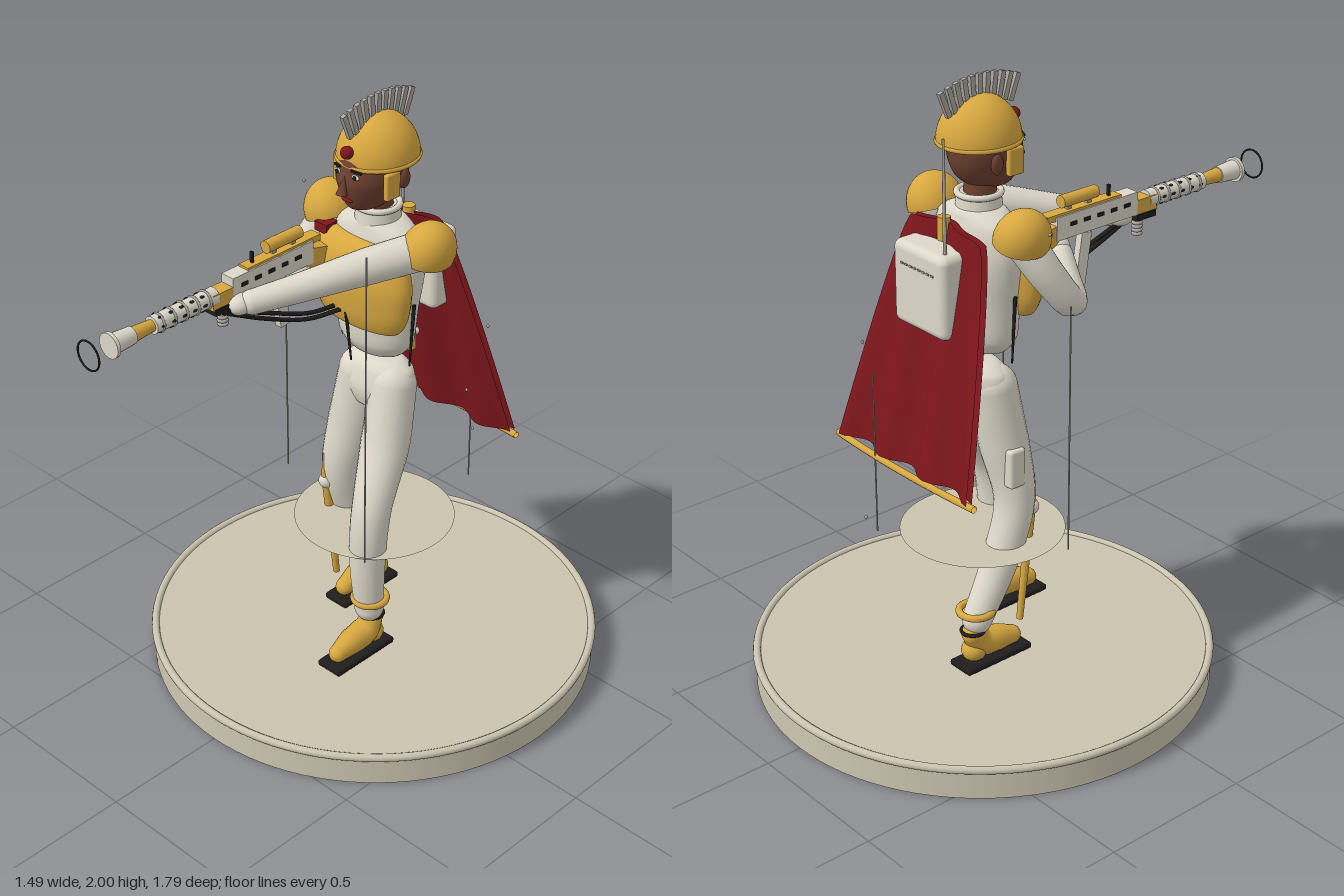
import * as THREE from 'three';
import { RoundedBoxGeometry } from 'three/addons/geometries/RoundedBoxGeometry.js';

const V = (x, y, z) => new THREE.Vector3(x, y, z);
const paint = (name, color, side = THREE.FrontSide) => {
  const m = new THREE.MeshStandardMaterial({ color, side });
  m.name = name;
  return m;
};

export function createModel() {
  const root = new THREE.Group();
  root.name = 'figureOnBase';
  const cream = paint('cream', 0xddd8ca), stone = paint('stone', 0xcbc4af, THREE.DoubleSide);
  const gold = paint('gold', 0xd8a840, THREE.DoubleSide), red = paint('red', 0x7e161c, THREE.DoubleSide);
  const skin = paint('skin', 0x6e4030), black = paint('black', 0x1f1d1c), grey = paint('grey', 0xaaa69e);

  // ---- helpers ----
  const add = (name, geo, mat, p = [0, 0, 0], rot = [0, 0, 0], s = [1, 1, 1]) => {
    const m = new THREE.Mesh(geo, mat);
    m.name = name;
    m.position.set(...p);
    m.rotation.set(...rot);
    m.scale.set(...s);
    root.add(m);
    return m;
  };
  const ball = (name, mat, p, s) => add(name, new THREE.SphereGeometry(1, 28, 18), mat, p, [0, 0, 0], s);
  const box = (name, mat, p, s, rot) => add(name, new THREE.BoxGeometry(...s), mat, p, rot);
  const rod = (name, mat, a, b, r1, r2 = r1, sides = 20) => {
    const A = V(...a), B = V(...b), d = B.clone().sub(A);
    const m = add(name, new THREE.CylinderGeometry(r2, r1, d.length(), sides), mat, A.clone().add(B).multiplyScalar(0.5).toArray());
    m.quaternion.setFromUnitVectors(V(0, 1, 0), d.normalize());
    return m;
  };
  // round limb along a smooth path, radius varying, rounded ends
  const limb = (name, mat, pts, radii, seg = 30) => {
    const curve = new THREE.CatmullRomCurve3(pts.map(p => V(...p)));
    const geo = new THREE.TubeGeometry(curve, seg, 1, 20);
    const pos = geo.attributes.position, v = V(0, 0, 0);
    for (let i = 0; i <= seg; i++) {
      const c = curve.getPointAt(i / seg), f = (i / seg) * (radii.length - 1);
      const k = Math.min(Math.floor(f), radii.length - 2);
      const r = THREE.MathUtils.lerp(radii[k], radii[k + 1], f - k);
      for (let j = 0; j <= 20; j++) {
        const n = i * 21 + j;
        v.fromBufferAttribute(pos, n).sub(c).multiplyScalar(r).add(c);
        pos.setXYZ(n, v.x, v.y, v.z);
      }
    }
    add(name, geo, mat);
    [0, pts.length - 1].forEach(i => {
      const r = radii[i ? radii.length - 1 : 0];
      ball(name + 'End', mat, pts[i], [r, r, r]);
    });
  };
  // closed body from horizontal elliptical sections [y, z, rx, rz], bottom to top
  const loft = (name, mat, sections, n = 36) => {
    const path = k => new THREE.CatmullRomCurve3(sections.map(s => V(s[k], s[k + 1], 0)));
    const a = path(0), b = path(2), rows = 28, pos = [], idx = [];
    for (let i = 0; i <= rows; i++) {
      const c = a.getPoint(i / rows), r = b.getPoint(i / rows);
      for (let j = 0; j < n; j++) {
        const t = (j / n) * Math.PI * 2;
        pos.push(Math.sin(t) * r.x, c.x, c.y + Math.cos(t) * r.y);
        const k = (j + 1) % n, p = i * n;
        if (i < rows) idx.push(p + j, p + k, p + n + j, p + k, p + n + k, p + n + j);
      }
    }
    const geo = new THREE.BufferGeometry();
    geo.setAttribute('position', new THREE.Float32BufferAttribute(pos, 3));
    geo.setIndex(idx);
    geo.computeVertexNormals();
    add(name, geo, mat);
  };

  // ---- base, floating disc and thin poles ----
  const cz = -0.146;
  add('base', new THREE.CylinderGeometry(0.73, 0.735, 0.1, 96), stone, [0, 0.05, cz]);
  add('baseRim', new THREE.TorusGeometry(0.73, 0.013, 10, 96), stone, [0, 0.098, cz], [Math.PI / 2, 0, 0]);
  add('disc', new THREE.CircleGeometry(0.262, 64), stone, [0, 0.51, cz], [-Math.PI / 2, 0, 0]);
  [[-0.35, -0.098, 1.37], [0.215, 0.125, 1.64], [0.12, -0.47, 1.1]].forEach(([x, z, top]) =>
    rod('pole', grey, [x, 0.56, z], [x, top, z], 0.0025, 0.0025, 8));
  [[-0.32, 1.6, -0.155], [0.33, 1.1, -0.2], [0.055, 0.67, -0.56], [0.2, 1.17, -0.445]].forEach(p =>
    ball('mote', grey, p, [0.005, 0.005, 0.005]));

  // ---- torso ----
  loft('torso', cream, [[1.135, -0.148, 0.005, 0.005], [1.15, -0.148, 0.1, 0.065], [1.2, -0.148, 0.137, 0.092],
    [1.32, -0.15, 0.15, 0.098], [1.46, -0.155, 0.17, 0.1], [1.56, -0.155, 0.155, 0.085], [1.6, -0.155, 0.08, 0.07], [1.61, -0.155, 0.005, 0.005]]);
  loft('breastplate', gold, [[1.262, -0.08, 0.005, 0.005], [1.27, -0.08, 0.15, 0.055], [1.33, -0.08, 0.185, 0.075],
    [1.42, -0.08, 0.196, 0.08], [1.5, -0.085, 0.18, 0.07], [1.545, -0.09, 0.12, 0.045], [1.555, -0.09, 0.005, 0.005]]);
  loft('pelvis', cream, [[0.93, -0.15, 0.005, 0.005], [0.95, -0.15, 0.1, 0.06], [1.02, -0.16, 0.138, 0.085],
    [1.08, -0.167, 0.125, 0.075], [1.108, -0.167, 0.08, 0.05], [1.115, -0.167, 0.005, 0.005]]);
  rod('waistJoint', gold, [0, 1.08, -0.16], [0, 1.16, -0.16], 0.02);
  add('collar', new THREE.CylinderGeometry(0.066, 0.075, 0.075, 32), cream, [0, 1.605, -0.15]);
  add('collarRing', new THREE.TorusGeometry(0.066, 0.01, 10, 32), cream, [0, 1.64, -0.15], [Math.PI / 2, 0, 0]);
  rod('frontCord', black, [0, 1.14, -0.035], [0, 1.32, -0.012], 0.003, 0.006, 8);
  [-1, 1].forEach(s => {
    rod('sideCord', black, [s * 0.143, 1.13, -0.145], [s * 0.158, 1.35, -0.145], 0.003, 0.006, 8);
    box('shoulderPatch', red, [s * 0.15, 1.535, -0.08], [0.05, 0.03, 0.05]);
    // half-domed shoulder guards
    add('shoulderGuard', new THREE.SphereGeometry(1, 32, 14, 0, Math.PI * 2, 0, Math.PI * 0.55), gold,
      [s * 0.2, 1.55, -0.155], [0, 0, -s * 0.32], [0.08, 0.095, 0.092]);
  });

  // ---- head and helmet ----
  rod('neck', skin, [0, 1.6, -0.15], [0, 1.7, -0.14], 0.05);
  loft('head', skin, [[1.648, -0.11, 0.004, 0.004], [1.658, -0.105, 0.045, 0.065], [1.7, -0.12, 0.078, 0.105],
    [1.76, -0.125, 0.098, 0.122], [1.83, -0.135, 0.1, 0.115], [1.87, -0.14, 0.005, 0.005]]);
  add('nose', new THREE.ConeGeometry(0.018, 0.06, 12), skin, [0, 1.75, 0.0], [-0.25, 0, 0]);
  ball('lips', red, [0, 1.697, -0.016], [0.022, 0.006, 0.008]);
  [-1, 1].forEach(s => {
    ball('eyeWhite', cream, [s * 0.036, 1.782, -0.014], [0.015, 0.008, 0.005]);
    ball('pupil', black, [s * 0.036, 1.782, -0.01], [0.007, 0.007, 0.004]);
    box('eyebrow', black, [s * 0.038, 1.799, -0.015], [0.034, 0.006, 0.008], [0, s * 0.35, -s * 0.15]);
    ball('ear', skin, [s * 0.096, 1.75, -0.16], [0.012, 0.032, 0.022]);
    add('cheekGuard', new RoundedBoxGeometry(0.02, 0.085, 0.058, 2, 0.006), gold, [s * 0.103, 1.75, -0.098]);
  });
  add('helmet', new THREE.SphereGeometry(1, 40, 16, 0, Math.PI * 2, 0, Math.PI / 2), gold, [0, 1.8, -0.148], [0, 0, 0], [0.122, 0.14, 0.132]);
  add('helmetRim', new THREE.TorusGeometry(0.119, 0.008, 8, 40), gold, [0, 1.803, -0.148], [Math.PI / 2, 0, 0], [1, 1.07, 1]);
  ball('jewel', red, [0, 1.85, -0.015], [0.02, 0.02, 0.02]);
  for (let i = -5; i <= 5; i++) {
    const a = i * 0.075;
    box('crestPlume', grey, [0, 1.6 + 0.357 * Math.cos(a), -0.145 + 0.355 * Math.sin(a)], [0.014, 0.085, 0.017], [a, 0, 0]);
  }

  // ---- legs and shoes: [side, knee z, shin z, ankle z, foot centre z] ----
  [[1, -0.005, 0.01, 0.0, 0.06], [-1, -0.115, -0.175, -0.27, -0.213]].forEach(([s, k, m, a, f]) => {
    const x = s * 0.118;
    limb('leg', cream, [[s * 0.068, 1.03, -0.155], [s * 0.088, 0.85, s > 0 ? -0.1 : -0.135], [x, 0.64, k], [x, 0.45, m], [x, 0.27, a]],
      [0.074, 0.079, 0.064, 0.059, 0.048]);
    add('anklet', new THREE.TorusGeometry(0.053, 0.012, 10, 32), gold, [x, 0.305, a - 0.004], [Math.PI / 2, 0, 0]);
    limb('shoe', gold, [[x, 0.225, f - 0.075], [x, 0.185, f - 0.045], [x, 0.17, f + 0.03], [x, 0.157, f + 0.085]], [0.036, 0.046, 0.043, 0.03], 16);
    ball('heel', gold, [x, 0.165, f - 0.07], [0.04, 0.038, 0.042]);
    add('shoeStrap', new THREE.TorusGeometry(0.036, 0.006, 8, 24), black, [x, 0.237, f - 0.075], [Math.PI / 2, 0, 0]);
    add('sole', new RoundedBoxGeometry(0.098, 0.022, 0.262, 2, 0.009), black, [x, 0.119, f]);
  });
  add('holster', new RoundedBoxGeometry(0.04, 0.13, 0.06, 2, 0.01), cream, [-0.16, 0.785, -0.15]);
  rod('scabbard', gold, [-0.14, 0.22, -0.112], [-0.14, 0.61, -0.066], 0.011, 0.016);
  rod('swordGrip', gold, [-0.14, 0.61, -0.066], [-0.14, 0.72, -0.055], 0.018, 0.004);
  ball('swordPommel', cream, [-0.14, 0.61, -0.066], [0.026, 0.026, 0.026]);

  // ---- arms ----
  limb('rightArm', cream, [[-0.19, 1.55, -0.15], [-0.24, 1.43, -0.09], [-0.255, 1.33, -0.01], [-0.2, 1.37, 0.02], [-0.14, 1.425, 0.05]],
    [0.06, 0.055, 0.05, 0.046, 0.038]);
  limb('leftArm', cream, [[0.19, 1.55, -0.15], [0.115, 1.53, 0.01], [0.01, 1.49, 0.2], [-0.06, 1.465, 0.32]], [0.06, 0.056, 0.046, 0.038]);
  ball('rightHand', cream, [-0.12, 1.44, 0.06], [0.035, 0.04, 0.035]);
  ball('leftHand', cream, [-0.085, 1.46, 0.345], [0.04, 0.032, 0.045]);

  // ---- long gun, pointing forward ----
  const gx = -0.115, gy = 1.505;
  const along = (name, mat, z1, z2, r1, r2 = r1, y = gy) => rod(name, mat, [gx, y, z1], [gx, y, z2], r1, r2);
  const hoop = (name, mat, z, r, t) => add(name, new THREE.TorusGeometry(r, t, 8, 32), mat, [gx, gy, z]);
  along('barrel', cream, 0.42, 0.66, 0.028);
  for (let i = 0; i < 5; i++) {
    hoop('barrelRing', grey, 0.455 + i * 0.045, 0.028, 0.004);
    for (let j = 0; j < 6; j++) {
      const t = j * Math.PI / 3;
      ball('barrelVent', black, [gx + 0.026 * Math.cos(t), gy + 0.026 * Math.sin(t), 0.477 + i * 0.04], [0.005, 0.005, 0.009]);
    }
  }
  along('barrelNeck', gold, 0.655, 0.74, 0.018, 0.024);
  along('muzzle', cream, 0.735, 0.81, 0.027, 0.032);
  along('muzzleLip', cream, 0.808, 0.82, 0.04);
  hoop('sightHoop', black, 0.893, 0.046, 0.003);
  box('foreStock', gold, [gx, 1.495, 0.4], [0.05, 0.05, 0.09]);
  box('receiver', cream, [gx, 1.51, 0.2], [0.05, 0.075, 0.33]);
  box('topCover', gold, [gx, 1.545, 0.15], [0.04, 0.02, 0.3]);
  for (let i = 0; i < 5; i++) box('receiverSlot', black, [gx, 1.515, 0.1 + i * 0.055], [0.056, 0.012, 0.025]);
  along('scope', gold, 0.07, 0.21, 0.02, 0.02, 1.583);
  [0.1, 0.18].forEach(z => box('scopeMount', grey, [gx, 1.558, z], [0.015, 0.025, 0.015]));
  box('frontSight', black, [gx, 1.57, 0.265], [0.01, 0.04, 0.008]);
  box('stock', gold, [gx, 1.48, 0.0], [0.045, 0.06, 0.11], [-0.25, 0, 0]);
  rod('pistolGrip', gold, [gx, 1.4, 0.045], [gx, 1.48, 0.07], 0.018);
  box('magazine', cream, [gx, 1.38, 0.155], [0.025, 0.17, 0.04], [0.15, 0, 0]);
  for (let i = 0; i < 5; i++) add('foreGripRing', new THREE.TorusGeometry(0.012, 0.006, 8, 18), grey, [gx, 1.4 + i * 0.012, 0.388], [Math.PI / 2, 0, 0]);
  box('gripMount', black, [gx, 1.463, 0.4], [0.06, 0.02, 0.08]);
  [0, 0.02].forEach((d, i) => add('gunSling', new THREE.TubeGeometry(new THREE.CatmullRomCurve3(
    [V(-0.085, 1.46, 0.42 - d), V(-0.07, 1.375 + d, 0.25), V(-0.055, 1.315 + d, 0.09), V(-0.02 - i * 0.03, 1.32, -0.02)]), 30, 0.007, 8), black));

  // ---- cape with folds and hem bar ----
  const cape = (name, off) => {
    const geo = new THREE.PlaneGeometry(2, 1, 48, 24), p = geo.attributes.position;
    for (let i = 0; i < p.count; i++) {
      const u = p.getX(i), t = 0.5 - p.getY(i);
      const wave = 0.02 * t * Math.cos(u * 9.5) + 0.015 * Math.cos(u * 5) * (1 - t);
      p.setXYZ(i, u * (0.165 + 0.145 * Math.pow(t, 0.75)), 1.575 - 0.75 * t - 0.03 * u ** 6 * (1 - t), -0.265 - 0.16 * t + wave - off);
    }
    geo.computeVertexNormals();
    add(name, geo, red);
  };
  cape('capeLining', 0);
  cape('cape', 0.022);
  add('hemBar', new THREE.TubeGeometry(new THREE.QuadraticBezierCurve3(V(-0.33, 0.817, -0.452), V(0, 0.817, -0.478), V(0.33, 0.817, -0.452)), 24, 0.011, 10), gold);

  // ---- backpack ----
  add('backpack', new RoundedBoxGeometry(0.24, 0.265, 0.11, 4, 0.025), cream, [0, 1.387, -0.332]);
  for (let i = 0; i < 8; i++) box('backpackVent', grey, [-0.07 + i * 0.02, 1.455, -0.388], [0.012, 0.006, 0.004]);
  rod('antenna', grey, [-0.085, 1.49, -0.35], [-0.085, 1.87, -0.35], 0.006, 0.004, 10);
  rod('baton', gold, [0.01, 1.08, -0.292], [0.01, 1.59, -0.275], 0.02);
  ball('batonKnob', cream, [0.01, 1.13, -0.315], [0.014, 0.014, 0.014]);

  return root;
}
